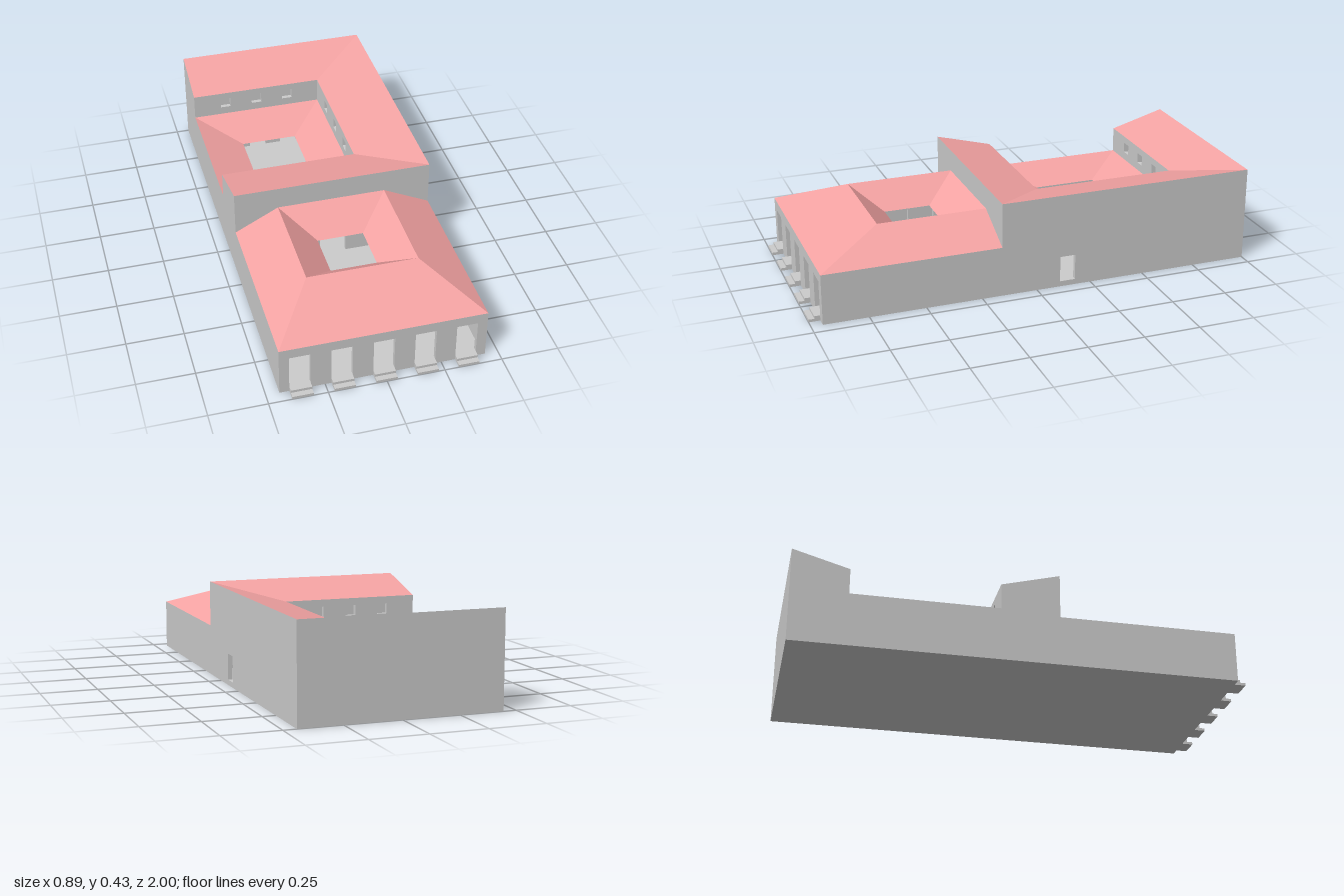
import * as THREE from 'three';

const T = 0.02;          // wall thickness
const FLOOR = 0.024;
const X = 0.443, FRONT = 0.95, MID = 0.16, BACK = -1;

const stone = new THREE.MeshStandardMaterial({ color: 0xcccccc });
const tile = new THREE.MeshStandardMaterial({ color: 0xf4a3a3, side: THREE.DoubleSide });

function outline(Type, pts) {
  return new Type(pts.map(([x, y]) => new THREE.Vector2(x, y)));
}
const rect = (x0, x1, y0, y1) => [[x0, y0], [x1, y0], [x1, y1], [x0, y1]];

export function createModel() {
  const house = new THREE.Group();
  house.name = 'courtyardHouse';

  function add(name, geometry, material = stone) {
    const mesh = new THREE.Mesh(geometry, material);
    mesh.name = name;
    house.add(mesh);
    return mesh;
  }

  function box(name, x0, x1, y0, y1, z0, z1) {
    add(name, new THREE.BoxGeometry(x1 - x0, y1 - y0, z1 - z0))
      .position.set((x0 + x1) / 2, (y0 + y1) / 2, (z0 + z1) / 2);
  }

  // Upright wall along 'x' or 'z', filling at..at+T on the other axis.
  // inner (0 or 1) names the face whose top is lowered to lie under the roof.
  function wall(name, axis, at, pts, holes = [], inner = -1) {
    const shape = outline(THREE.Shape, pts);
    holes.forEach(h => shape.holes.push(outline(THREE.Path, rect(...h))));
    const geo = new THREE.ExtrudeGeometry(shape, { depth: T, bevelEnabled: false });
    const p = geo.attributes.position;
    for (let i = 0; i < p.count; i++) {
      const side = p.getZ(i) > T / 2 ? 1 : 0;
      if (side === inner && p.getY(i) > 0.23) p.setY(i, p.getY(i) - 0.007);
    }
    geo.computeVertexNormals();
    if (axis === 'z') geo.rotateY(-Math.PI / 2).translate(at + T, 0, 0);
    else geo.translate(0, 0, at);
    add(name, geo);
  }

  // Three evenly spaced openings between a and b.
  const three = (a, b, width, y0, y1) => [1, 2, 3].map(i => {
    const c = a + (b - a) * i / 4;
    return [c - width / 2, c + width / 2, y0, y1];
  });

  // Mitred roof slopes between two rectangles [x0, x1, z0, z1].
  // Sides: 0 front, 1 left (+x), 2 back, 3 right (-x).
  function roof(name, outer, inner, yOuter, yInner, sides) {
    const ring = ([x0, x1, z0, z1], y) => [[x0, y, z1], [x1, y, z1], [x1, y, z0], [x0, y, z0]];
    const o = ring(outer, yOuter), n = ring(inner, yInner), pos = [];
    for (const i of sides) {
      const j = (i + 1) % 4;
      pos.push(...o[i], ...o[j], ...n[j], ...o[i], ...n[j], ...n[i]);
    }
    const geo = new THREE.BufferGeometry();
    geo.setAttribute('position', new THREE.Float32BufferAttribute(pos, 3));
    geo.computeVertexNormals();
    add(name, geo, tile);
  }

  // Floor slab with two sunken pools
  const pools = [[-0.055, 0.048, 0.325, 0.51], [-0.215, -0.04, -0.515, -0.33]];
  const slab = outline(THREE.Shape, rect(-X + T, X - T, -FRONT + T, -BACK - T));
  pools.forEach(([x0, x1, z0, z1]) =>
    slab.holes.push(outline(THREE.Path, rect(x0, x1, -z1, -z0))));
  add('floor', new THREE.ExtrudeGeometry(slab, { depth: FLOOR, bevelEnabled: false })
    .rotateX(-Math.PI / 2));
  pools.forEach(([x0, x1, z0, z1]) => box('poolBottom', x0, x1, 0, 0.01, z0, z1));

  // Front wall with five doorways, each with two steps
  const doors = [-2, -1, 0, 1, 2].map(i => i * 0.178);
  wall('frontWall', 'x', FRONT - T, rect(-X, X, 0, 0.225),
    doors.map(x => [x - 0.045, x + 0.045, FLOOR, 0.18]));
  doors.forEach(x => {
    box('lowerStep', x - 0.045, x + 0.045, 0, 0.012, FRONT, 1);
    box('upperStep', x - 0.045, x + 0.045, 0.012, FLOOR, FRONT, 0.975);
  });

  // Other outer walls
  wall('leftWall', 'z', X - T, [[BACK, 0], [FRONT, 0], [FRONT, 0.225], [MID, 0.225],
    [MID, 0.425], [BACK, 0.425]], [[-0.177, -0.107, FLOOR, 0.14]], 1);
  wall('rightWall', 'z', -X, [[BACK, 0], [FRONT, 0], [FRONT, 0.225], [MID, 0.225],
    [MID, 0.425], [-0.1, 0.355], [-0.1, 0.24], [-0.75, 0.24], [-0.75, 0.355],
    [BACK, 0.425]], [], 0);
  wall('backWall', 'x', BACK, rect(-X, X, 0, 0.425), [], 1);
  wall('middleWall', 'x', MID - T, rect(-X, X, 0, 0.425), [[-0.06, 0.06, FLOOR, 0.18]], 0);

  // Garden court walls: doors below the low roof, windows above it
  const courtX = [...three(-X, 0.17, 0.08, FLOOR, 0.16), ...three(-X, 0.17, 0.048, 0.277, 0.323)];
  const courtZ = [...three(-0.75, -0.1, 0.08, FLOOR, 0.16), ...three(-0.75, -0.1, 0.048, 0.277, 0.323)];
  wall('courtBackWall', 'x', -0.75 - T, rect(-X, 0.17, 0, 0.355), courtX);
  wall('courtFrontWall', 'x', -0.1, rect(-X, 0.17, 0, 0.355), courtX);
  wall('courtLeftWall', 'z', 0.17, rect(-0.75 - T, -0.1 + T, 0, 0.355), courtZ);

  // Entrance hall walls
  const hallDoors = three(MID, 0.65, 0.07, FLOOR, 0.16);
  wall('hallRightWall', 'z', -0.25 - T, rect(MID, 0.65, 0, 0.31), hallDoors);
  wall('hallLeftWall', 'z', 0.235, rect(MID, 0.65, 0, 0.31), hallDoors);
  wall('hallFrontWall', 'x', 0.65, rect(-0.25, 0.235, 0, 0.31),
    three(-0.25, 0.235, 0.07, FLOOR, 0.16));

  // Roofs
  const ridge = [-0.25, 0.235, MID, 0.65];
  const court = [-X, 0.17, -0.75, -0.1];
  roof('frontRoof', [-X, X, MID, FRONT], ridge, 0.225, 0.325, [0, 1, 3]);
  roof('hallRoof', ridge, [-0.11, 0.095, 0.31, 0.52], 0.325, 0.225, [0, 1, 2, 3]);
  roof('wingRoof', [-X, X, BACK, MID], court, 0.425, 0.355, [0, 1, 2]);
  roof('courtRoof', court, [-0.25, 0.005, -0.555, -0.27], 0.24, 0.18, [0, 1, 2, 3]);

  return house;
}
